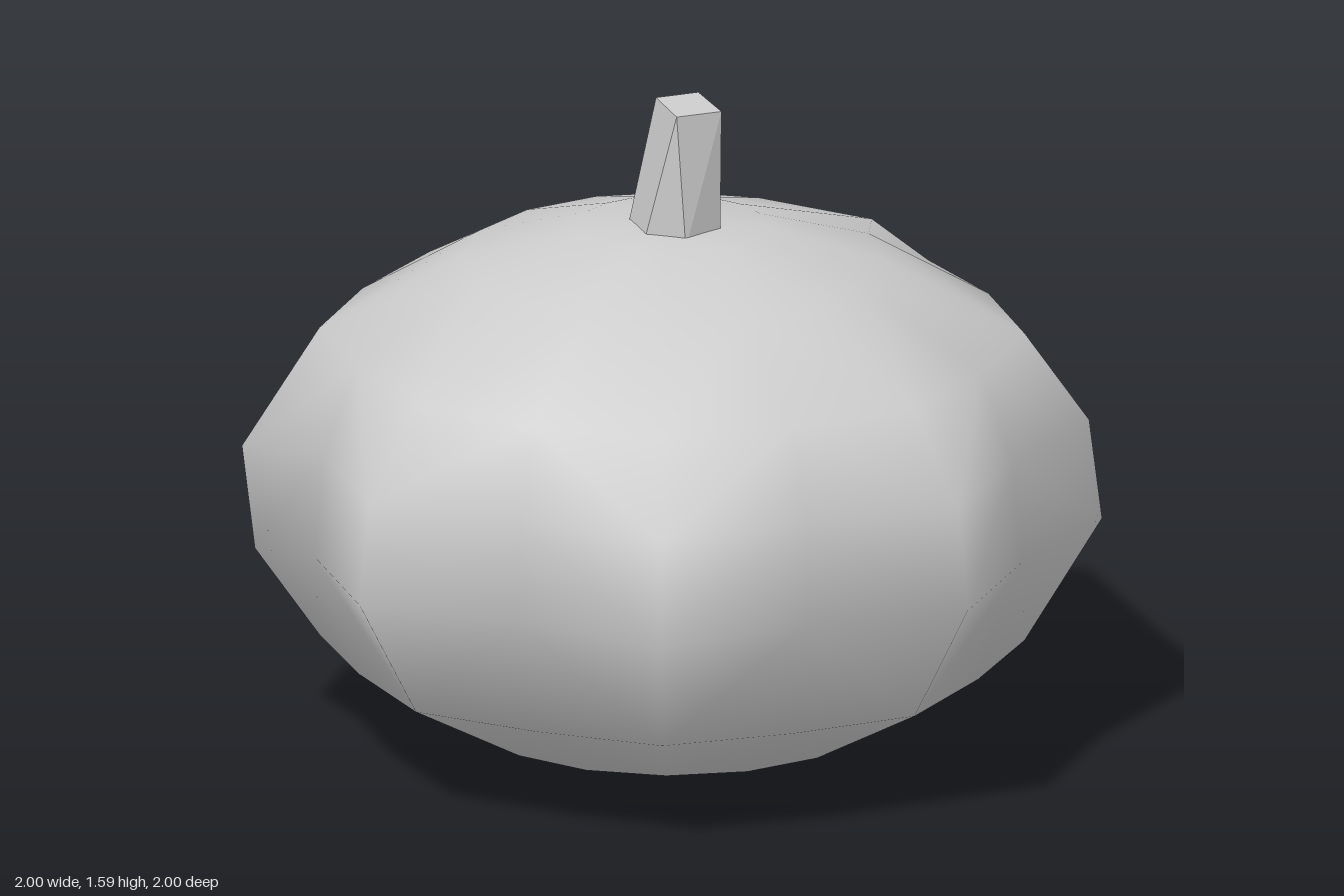
import * as THREE from 'three';

// Squashed body: rings of 16 points, with a ridge on every even column
function buildBody() {
  const N = 16;
  // ridge radius, height, valley radius as a share of the ridge
  const rings = [
    [0.22, 1.28, 1], [0.49, 1.2, 1], [0.82, 1.02, 0.96], [0.97, 0.81, 0.895],
    [1, 0.57, 0.89], [0.82, 0.27, 0.95], [0.49, 0.09, 1], [0.2, 0.018, 1],
  ];
  // uneven ridges: column -> ring -> [radius, height]
  const low = { 3: [1, 0.73], 4: [0.97, 0.48] };
  const uneven = { 8: { 1: [0.64, 1.15], 2: [0.82, 1.01], 3: [0.95, 0.88] }, 10: low, 14: low };
  const pos = [0, 1.29, 0];
  rings.forEach(([r0, y0, valley], i) => {
    for (let k = 0; k < N; k++) {
      const [r, y] = uneven[k]?.[i] ?? [k % 2 ? r0 * valley : r0, y0];
      const a = (k / N) * Math.PI * 2;
      pos.push(r * Math.sin(a), y, r * Math.cos(a));
    }
  });
  pos.push(0.1, 0.003, 0);
  const last = pos.length / 3 - 1;
  const at = (i, k) => 1 + i * N + (k % N);
  const index = [];
  for (let k = 0; k < N; k++) {
    index.push(0, at(0, k), at(0, k + 1));
    for (let i = 0; i < rings.length - 1; i++) {
      const a = at(i, k), b = at(i + 1, k), c = at(i + 1, k + 1), d = at(i, k + 1);
      // diagonals mirror about each ridge
      if (k % 2) index.push(a, b, c, a, c, d);
      else index.push(a, b, d, b, c, d);
    }
    index.push(at(rings.length - 1, k), last, at(rings.length - 1, k + 1));
  }
  const g = new THREE.BufferGeometry();
  g.setAttribute('position', new THREE.Float32BufferAttribute(pos, 3));
  g.setIndex(index);
  g.computeVertexNormals();
  return g;
}

// Stem: six-sided foot narrowing to a leaning four-sided tip
function buildStem() {
  const foot = [[0.02, 0.11], [0.11, 0.06], [0.11, -0.05], [0, -0.11], [-0.088, -0.065], [-0.088, 0.06]];
  const tip = [[0.095, 0.075], [0.125, -0.04], [0.015, -0.07], [-0.012, 0.04]];
  const tipY = [1.58, 1.575, 1.59, 1.595];
  const link = [0, 0, 1, 2, 2, 3]; // tip corner above each foot corner
  const pos = [];
  const F = (k) => [foot[k % 6][0], 1.26, foot[k % 6][1]];
  const T = (j) => [tip[j][0], tipY[j], tip[j][1]];
  for (let k = 0; k < 6; k++) {
    const a = link[k], b = link[(k + 1) % 6];
    pos.push(...F(k), ...F(k + 1), ...T(b));
    if (a !== b) pos.push(...F(k), ...T(b), ...T(a));
  }
  pos.push(...T(0), ...T(1), ...T(2), ...T(0), ...T(2), ...T(3));
  const g = new THREE.BufferGeometry();
  g.setAttribute('position', new THREE.Float32BufferAttribute(pos, 3));
  g.computeVertexNormals();
  return g;
}

export function createModel() {
  const grey = new THREE.MeshStandardMaterial({ color: 0xcccccc });
  grey.name = 'grey';
  const model = new THREE.Group();
  model.name = 'pumpkin';
  const add = (name, geometry) => {
    const mesh = new THREE.Mesh(geometry, grey);
    mesh.name = name;
    model.add(mesh);
  };
  add('body', buildBody());
  add('stem', buildStem());
  return model;
}
